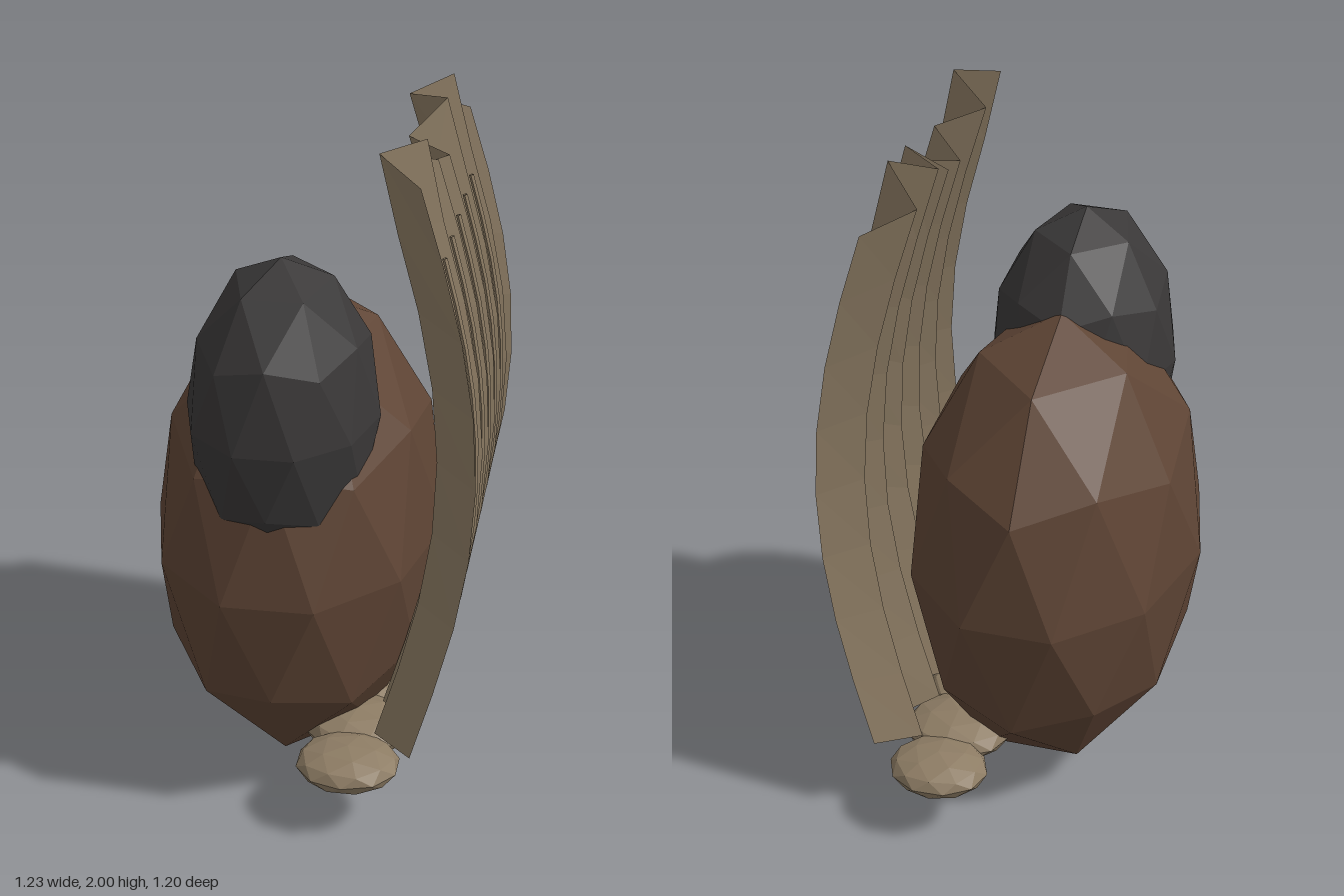
import * as THREE from 'three';

const flat = (name, color) => {
  const m = new THREE.MeshStandardMaterial({ color, flatShading: true });
  m.name = name;
  return m;
};

// Faceted ball with a vertex at each pole, turned and then stretched
function pebble(name, mat, pos, size, turn) {
  const g = new THREE.IcosahedronGeometry(1, 1);
  g.rotateX(-Math.acos(0.5257));
  g.rotateY(turn);
  g.scale(...size);
  const mesh = new THREE.Mesh(g, mat);
  mesh.name = name;
  mesh.position.set(...pos);
  return mesh;
}

// Vertical bow and sideways taper shared by the screen and its fibres
const bow = (y) => 0.22 + 0.165 * Math.sin(Math.PI * Math.min(1, Math.max(0, (y - 0.25) / 1.68)));
const spread = (y) => 1.12 - 0.115 * y;

// Pleated upright sheet with a ragged top
function pleatedScreen(mat) {
  const tops = [1.92, 1.98, 2.0, 1.93, 1.89, 1.83, 1.85, 1.87, 1.96, 1.94, 1.98, 1.89, 1.83];
  const rows = 8, cols = tops.length, pos = [], idx = [];
  for (let r = 0; r <= rows; r++) {
    for (let c = 0; c < cols; c++) {
      const bottom = 0.245 + 0.02 * Math.sin(c * 2.3);
      const y = bottom + (tops[c] - bottom) * r / rows;
      const u = (c - 6) * 0.08 * spread(y);
      pos.push(u, y, bow(y) - (c % 2 ? 0.115 : 0));
      if (r < rows && c < cols - 1) {
        const a = r * cols + c, b = a + cols;
        idx.push(a, a + 1, b + 1, a, b + 1, b);
      }
    }
  }
  const g = new THREE.BufferGeometry();
  g.setAttribute('position', new THREE.Float32BufferAttribute(pos, 3));
  g.setIndex(idx);
  g.computeVertexNormals();
  const mesh = new THREE.Mesh(g, mat);
  mesh.name = 'pleatedScreen';
  return mesh;
}

// Thin bowed strand standing in front of a valley of the screen
function fibre(u, mat) {
  const pts = [];
  for (let i = 0; i <= 6; i++) {
    const y = 0.43 + i * 0.212;
    pts.push(new THREE.Vector3(u * spread(y), y, bow(y) - 0.01));
  }
  const g = new THREE.TubeGeometry(new THREE.CatmullRomCurve3(pts), 10, 0.007, 4);
  const mesh = new THREE.Mesh(g, mat);
  mesh.name = 'fibre';
  return mesh;
}

export function createModel() {
  const brown = flat('brown', 0x5f4535);
  const charcoal = flat('charcoal', 0x3a3838);
  const tan = flat('tan', 0x8d7c64);
  tan.side = THREE.DoubleSide;

  const model = new THREE.Group();
  model.name = 'model';

  // Everything is built facing +z, then turned diagonally
  const figure = new THREE.Group();
  figure.name = 'figure';
  figure.rotation.y = Math.PI / 4;
  model.add(figure);

  figure.add(pebble('body', brown, [-0.02, 0.72, -0.17], [0.58, 0.715, 0.42], Math.PI / 10));
  // Long egg-shaped head, its lower end sunk into the body
  figure.add(pebble('head', charcoal, [-0.275, 1.19, -0.17], [0.325, 0.45, 0.27], Math.PI / 10));
  figure.add(pleatedScreen(tan));

  const fibres = new THREE.Group();
  fibres.name = 'fibres';
  for (let i = 0; i < 5; i++) fibres.add(fibre(-0.39 + i * 0.162, tan));
  figure.add(fibres);

  // Row of flattened stones under the screen
  const stones = new THREE.Group();
  stones.name = 'stones';
  for (let i = 0; i < 6; i++) {
    const s = 1 + 0.05 * Math.sin(i * 2.1);
    stones.add(pebble('stone', tan, [-0.49 + i * 0.196, 0.19, 0.04], [0.135 * s, 0.058 * s, 0.15 * s], i * 0.7));
  }
  figure.add(stones);

  return model;
}
